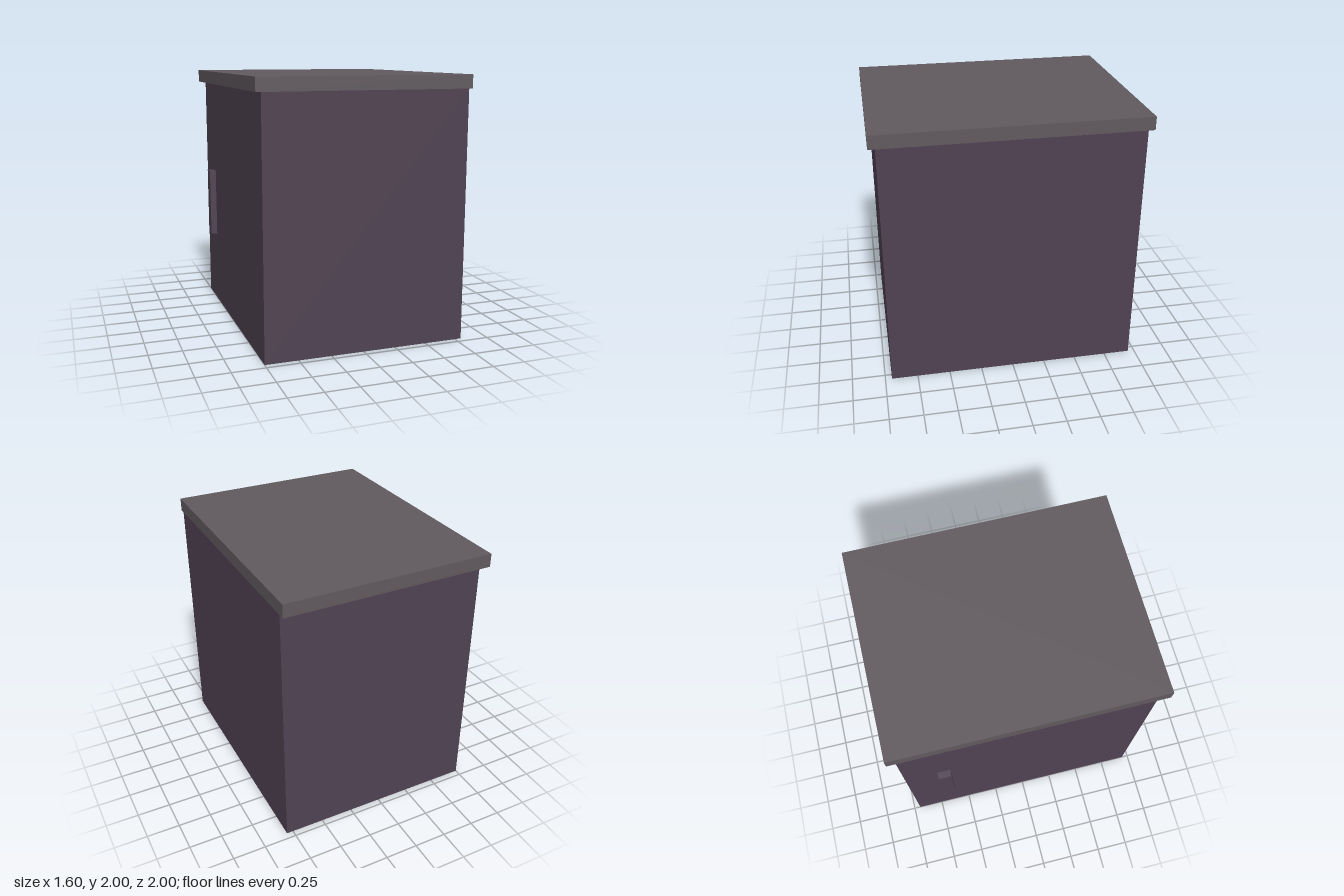
import * as THREE from 'three';

const plum = new THREE.MeshStandardMaterial({ color: 0x504252 });
plum.name = 'plum paint';
const grey = new THREE.MeshStandardMaterial({ color: 0x615a5f });
grey.name = 'grey top';

// Box given by its minimum and maximum corners
function block(name, material, min, max) {
  const size = max.map((v, i) => v - min[i]);
  const mesh = new THREE.Mesh(new THREE.BoxGeometry(...size), material);
  mesh.name = name;
  mesh.position.set(...max.map((v, i) => (v + min[i]) / 2));
  return mesh;
}

export function createModel() {
  const cabinet = new THREE.Group();
  cabinet.name = 'cabinet';
  cabinet.add(
    // Body, flush with the worktop on the +x side
    block('body', plum, [-0.75, 0, -0.95], [0.8, 1.9, 0.95]),
    // Overhanging worktop
    block('worktop', grey, [-0.8, 1.9, -1], [0.8, 2, 1]),
    // Upright handle on the door side
    block('handle', plum, [-0.8, 0.6, -0.7], [-0.75, 1.15, -0.6]),
  );
  return cabinet;
}
